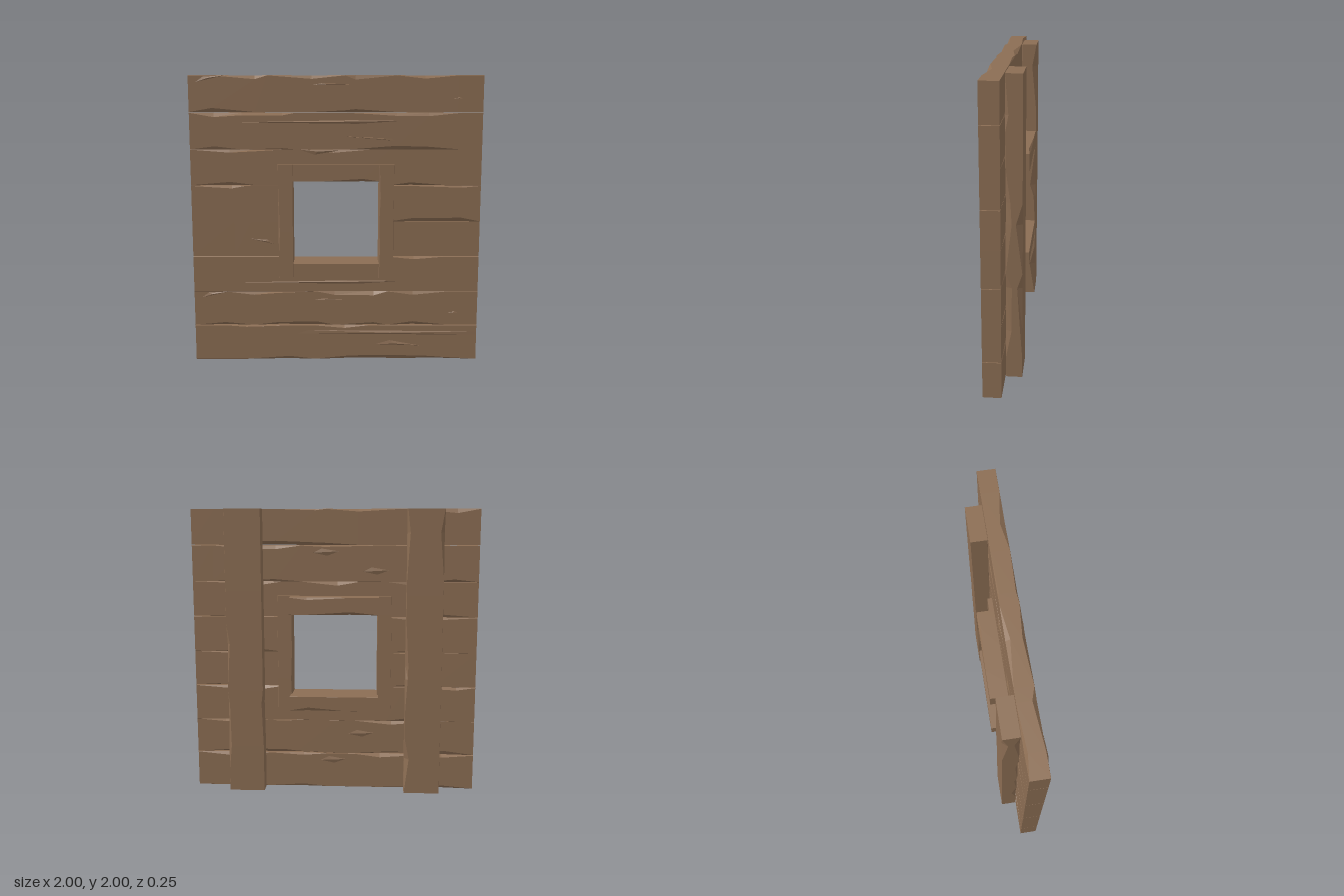
import * as THREE from 'three';

const wood = new THREE.MeshStandardMaterial({ color: 0x8b6d53 });
wood.name = 'weathered wood';
wood.flatShading = true;

function seeded(seed) {
  let s = seed * 7919 + 17;
  return () => ((s = (s * 16807) % 2147483647) / 2147483647);
}

function flatGeometry(points) {
  const g = new THREE.BufferGeometry();
  g.setAttribute('position', new THREE.Float32BufferAttribute(points.flat(), 3));
  g.computeVertexNormals();
  return g;
}

// Beam along x: rectangular sections whose four edges are randomly chipped
function beamGeometry(length, h, d, seed, chip, chance) {
  const rnd = seeded(seed);
  for (let i = 0; i < 5; i++) rnd();
  const n = Math.max(3, Math.round(length * 5));
  const rings = [];
  for (let i = 0; i <= n; i++) {
    const end = i === 0 || i === n;
    const x = -length / 2 + (length * (i + (end ? 0 : (rnd() - 0.5) * 0.8))) / n;
    const ring = [];
    // Corners run counter-clockwise seen from +x
    [[1, -1], [1, 1], [-1, 1], [-1, -1]].forEach(([sy, sz], k) => {
      const hit = !end && rnd() < chance;
      const a = hit ? chip * (0.3 + rnd() * 0.7) : 0.0008;
      const b = hit ? chip * (0.3 + rnd() * 0.9) : 0.0008;
      const onSide = [x, sy * (h / 2 - a), sz * d / 2];
      const onTop = [x, sy * h / 2, sz * (d / 2 - b)];
      ring.push(...(k % 2 === 0 ? [onSide, onTop] : [onTop, onSide]));
    });
    rings.push(ring);
  }
  const tris = [];
  for (let i = 0; i < n; i++) {
    for (let k = 0; k < 8; k++) {
      const m = (k + 1) % 8, p = rings[i], q = rings[i + 1];
      tris.push(...p[k], ...p[m], ...q[k], ...p[m], ...q[m], ...q[k]);
    }
  }
  for (let k = 1; k < 7; k++) {
    const p = rings[0], q = rings[n];
    tris.push(...p[0], ...p[k + 1], ...p[k], ...q[0], ...q[k], ...q[k + 1]);
  }
  return flatGeometry(tris);
}

// Beam filling the box x0..x1, y0..y1, z0..z1
function beam(name, [x0, x1], [y0, y1], [z0, z1], seed, upright = false, chip = 0.03, chance = 0.4) {
  const w = x1 - x0, h = y1 - y0;
  const geo = upright
    ? beamGeometry(h, w, z1 - z0, seed, chip, chance).rotateZ(Math.PI / 2)
    : beamGeometry(w, h, z1 - z0, seed, chip, chance);
  const mesh = new THREE.Mesh(geo, wood);
  mesh.name = name;
  mesh.position.set((x0 + x1) / 2, (y0 + y1) / 2, (z0 + z1) / 2);
  return mesh;
}

// Raised splinter: a shallow pyramid over a counter-clockwise outline
function splinter(outline, z, height, back = false) {
  const cx = outline.reduce((s, p) => s + p[0], 0) / outline.length;
  const cy = outline.reduce((s, p) => s + p[1], 0) / outline.length;
  const tris = [];
  outline.forEach((p, i) => {
    const q = outline[(i + 1) % outline.length];
    tris.push(...p, 0, ...q, 0, cx, cy, height);
  });
  const mesh = new THREE.Mesh(flatGeometry(tris), wood);
  mesh.name = 'splinter';
  mesh.position.z = z;
  if (back) mesh.rotation.y = Math.PI;
  return mesh;
}

export function createModel() {
  const model = new THREE.Group();
  model.name = 'plank wall with window';
  const depth = [-0.008, 0.112];

  // Eight horizontal planks, cut around the window in the middle rows
  const planks = new THREE.Group();
  planks.name = 'planks';
  for (let i = 0; i < 8; i++) {
    const y = [i * 0.25 + (i % 2 ? 0.004 : 0), (i + 1) * 0.25];
    if (i < 2 || i > 5) {
      planks.add(beam('plank', [-1, 1], y, depth, i + 1));
    } else {
      planks.add(beam('leftPlank', [0.37, 1], y, depth, i + 21));
      planks.add(beam('rightPlank', [-1, -0.37], y, depth, i + 41));
    }
  }
  planks.add(beam('plankBelowWindow', [-0.37, 0.37], [0.5, 0.63], depth, 61));
  planks.add(beam('plankAboveWindow', [-0.37, 0.37], [1.37, 1.5], depth, 67));
  model.add(planks);

  // Long splits and small flakes on both faces
  const splinters = new THREE.Group();
  splinters.name = 'splinters';
  for (const dy of [0, 1.12]) {
    splinters.add(splinter([[-0.68, 0.565 + dy], [0.15, 0.555 + dy], [0.45, 0.575 + dy], [0.1, 0.58 + dy]], 0.112, 0.01));
  }
  for (const dy of [0, 1.5]) {
    splinters.add(splinter([[-0.16, 0.435 + dy], [0.09, 0.44 + dy], [-0.1, 0.447 + dy]], 0.112, 0.006));
    splinters.add(splinter([[0.79, 0.34 + dy], [0.86, 0.345 + dy], [0.84, 0.355 + dy]], 0.112, 0.006));
    splinters.add(splinter([[-0.95, 0.455 + dy], [-0.75, 0.5 + dy], [-0.9, 0.49 + dy]], 0.112, 0.008));
  }
  splinters.add(splinter([[-0.27, 0.19], [1, 0.18], [1, 0.205], [-0.2, 0.215]], 0.112, 0.009));
  splinters.add(splinter([[0.28, 0.11], [0.6, 0.1], [0.38, 0.14]], 0.112, 0.008));
  splinters.add(splinter([[-0.25, 1.5], [-0.15, 1.465], [0.03, 1.495]], 0.112, 0.006));
  splinters.add(splinter([[0.05, 1.59], [0.4, 1.56], [0.38, 1.575]], 0.112, 0.006));
  splinters.add(splinter([[-0.6, 0.88], [-0.43, 0.84], [-0.46, 0.87]], 0.112, 0.006));
  for (const [x, y] of [[0.1, 0.4], [-0.15, 1.7], [0.2, 1.57], [-0.1, 0.2]]) {
    splinters.add(splinter([[x, y], [x + 0.1, y - 0.02], [x + 0.18, y + 0.01], [x + 0.06, y + 0.03]], -0.008, 0.008, true));
  }
  model.add(splinters);

  // Two upright battens on the back
  model.add(beam('leftBatten', [0.5, 0.75], [0, 2], [-0.118, -0.012], 73, true, 0.035, 0.35));
  model.add(beam('rightBatten', [-0.75, -0.5], [0, 2], [-0.118, -0.012], 79, true, 0.035, 0.35));

  // Window frame
  const frame = new THREE.Group();
  frame.name = 'windowFrame';
  frame.add(beam('leftJamb', [0.3, 0.4], [0.6, 1.4], [-0.04, 0.122], 83, true, 0.01, 0.25));
  frame.add(beam('rightJamb', [-0.4, -0.3], [0.6, 1.4], [-0.04, 0.122], 89, true, 0.01, 0.25));
  frame.add(beam('sill', [-0.31, 0.31], [0.6, 0.7], [-0.128, 0.118], 97, false, 0.035, 0.3));
  frame.add(beam('lintel', [-0.31, 0.31], [1.28, 1.4], [-0.128, 0.118], 101, false, 0.025, 0.3));
  model.add(frame);

  return model;
}
